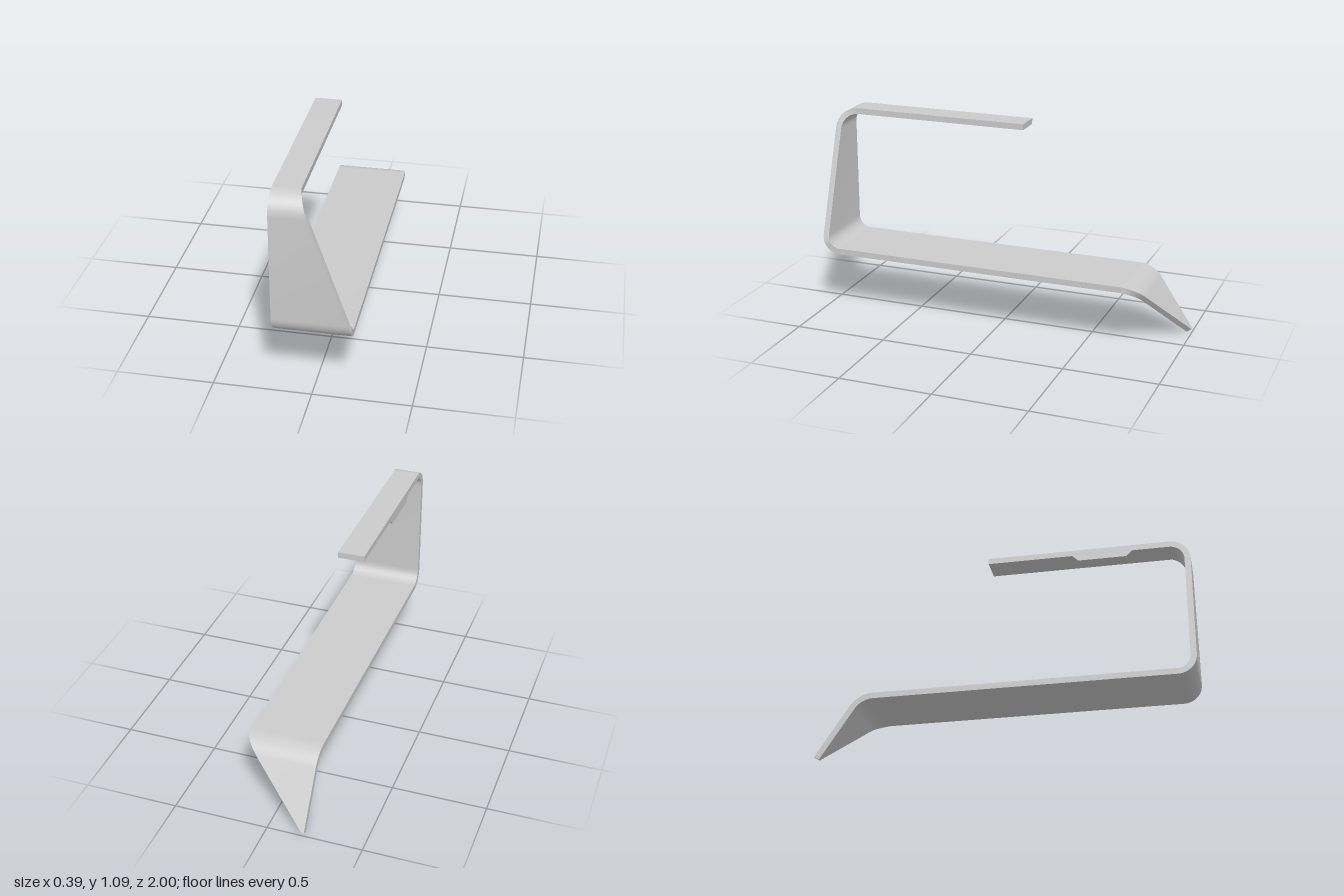
import * as THREE from 'three';
import { toCreasedNormals } from 'three/addons/utils/BufferGeometryUtils.js';

const LEFT = -0.195, WIDE = 0.195, HALF = 0.016;

// Skin a list of convex rings (counter-clockwise along the direction of travel) and cap both ends
function loft(rings) {
  const n = rings[0].length, pos = rings.flat(2), index = [];
  for (let i = 0; i < rings.length - 1; i++) {
    for (let j = 0; j < n; j++) {
      const a = i * n + j, b = i * n + (j + 1) % n;
      index.push(a, b, b + n, a, b + n, a + n);
    }
  }
  const last = (rings.length - 1) * n;
  for (let j = 1; j < n - 1; j++) {
    index.push(0, j + 1, j);
    index.push(last, last + j, last + j + 1);
  }
  const g = new THREE.BufferGeometry();
  g.setAttribute('position', new THREE.Float32BufferAttribute(pos, 3));
  g.setIndex(index);
  return toCreasedNormals(g, 0.5);
}

// One bend of the strip: stations with centre point, outward normal and right edge
function bend(cz, cy, r, from, to, flip, edge) {
  const steps = 16, out = [];
  for (let i = 0; i <= steps; i++) {
    const t = i / steps, a = THREE.MathUtils.degToRad(from + (to - from) * t);
    const c = Math.cos(a), s = Math.sin(a);
    const z = cz + r * c, y = cy + r * s;
    out.push({ z, y, nz: c * flip, ny: s * flip, x: edge(t, z, y) });
  }
  return out;
}

function bentStrip() {
  const tipAngle = THREE.MathUtils.degToRad(146.6);
  const stations = [
    // free end of the top arm
    { z: -0.08, y: 1.077, nz: 0, ny: 1, x: -0.055 },
    // top front bend, starting to widen
    ...bend(0.89, 0.983, 0.094, 90, 0, 1, t => -0.055 + 0.045 * t ** 1.15),
    // bottom front bend, reaching full width
    ...bend(0.9, 0.425, 0.084, 0, -90, 1, (t, z, y) => Math.min(WIDE, -0.01 + (0.983 - y) * 0.345)),
    // rear bend, rounding into the pointed foot
    ...bend(-0.695, 0.207, 0.134, 90, 146.6, -1, (t, z) => WIDE - 0.075 * (Math.max(0, -0.695 - z) / 0.112) ** 2.5),
    // tip of the foot
    { z: -0.985, y: 0.01, nz: -Math.cos(tipAngle), ny: -Math.sin(tipAngle), x: -0.18 },
  ];
  return loft(stations.map(({ z, y, nz, ny, x }) => {
    const corner = (px, o) => [px, y + ny * o, z + nz * o];
    return [corner(LEFT, -HALF), corner(x, -HALF), corner(x, HALF), corner(LEFT, HALF)];
  }));
}

// Half of a round-ended pad with bevelled sides, flush with the straight edge
function padRing(y, r) {
  const ring = [];
  for (const [cz, start] of [[0.425, -90], [0.645, 0]]) {
    for (let i = 0; i <= 10; i++) {
      const a = THREE.MathUtils.degToRad(start + i * 9);
      ring.push([LEFT + r * Math.cos(a), y, cz + r * Math.sin(a)]);
    }
  }
  return ring;
}

export function createModel() {
  const group = new THREE.Group();
  const material = new THREE.MeshStandardMaterial({ color: 0xcccccc });
  const add = (name, geometry) => {
    const mesh = new THREE.Mesh(geometry, material);
    mesh.name = name;
    group.add(mesh);
  };
  add('bentStrip', bentStrip());
  add('undersidePad', loft([padRing(1.062, 0.05), padRing(1.03, 0.018)]));
  return group;
}
